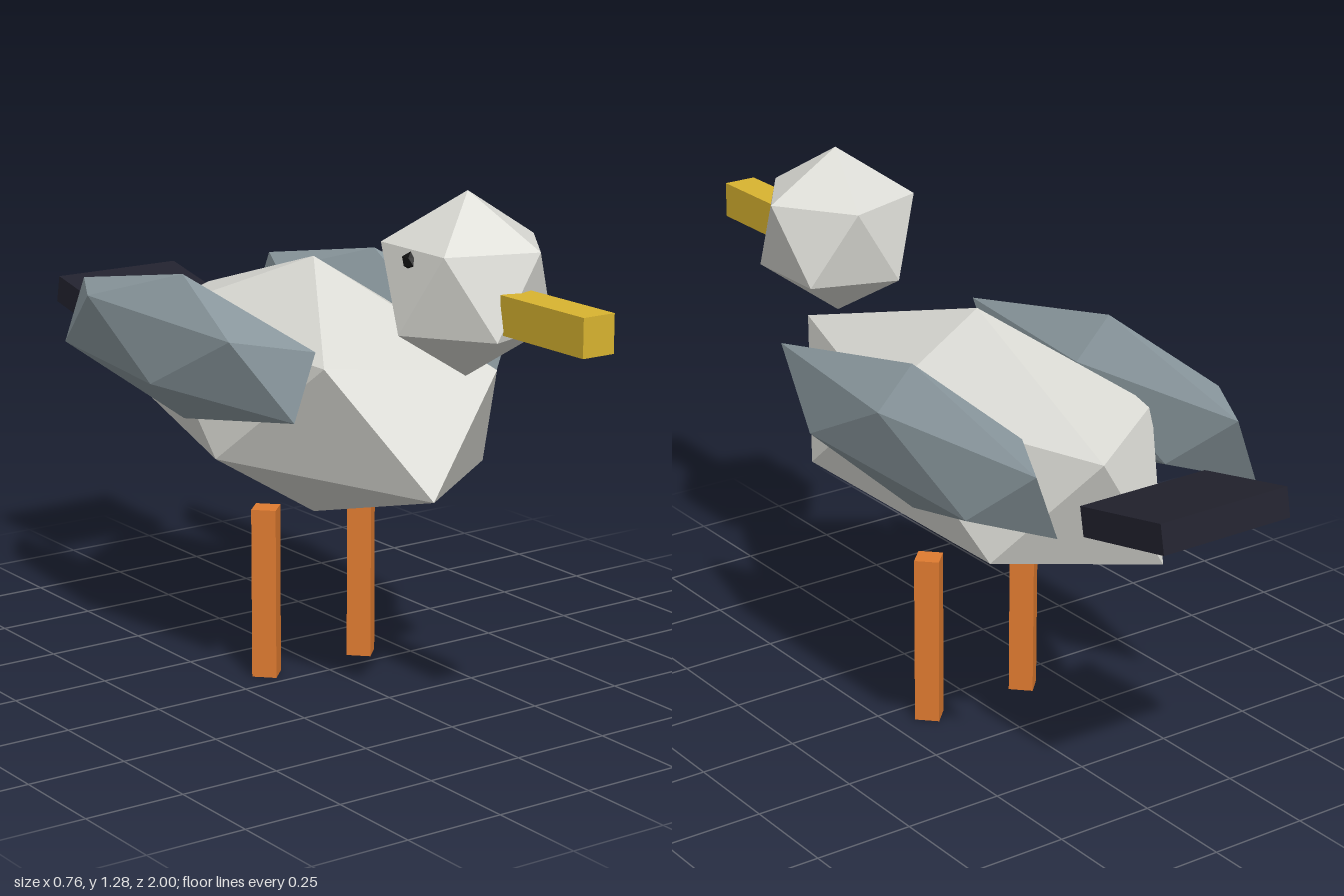
import * as THREE from 'three';

const paint = (name, color) => {
  const m = new THREE.MeshStandardMaterial({ color, flatShading: true });
  m.name = name;
  return m;
};

// Icosahedron standing on a corner, with an upper-ring corner on +x
const gem = (rx, ry, rz) =>
  new THREE.IcosahedronGeometry(1, 0)
    .rotateZ(-Math.atan(2 / (1 + Math.sqrt(5))))
    .scale(rx, ry, rz);

export function createModel() {
  const bird = new THREE.Group();
  bird.name = 'bird';

  const plumage = paint('pale grey plumage', 0xdcdcd6);
  const wingGrey = paint('slate grey wing', 0x8c9aa0);
  const tailBlack = paint('blue-black tail', 0x22222e);
  const beakYellow = paint('yellow beak', 0xd9b430);
  const legOrange = paint('orange leg', 0xe07b30);
  const eyeBlack = paint('black eye', 0x111111);

  const add = (name, geometry, material, x, y, z) => {
    const mesh = new THREE.Mesh(geometry, material);
    mesh.name = name;
    mesh.position.set(x, y, z);
    bird.add(mesh);
    return mesh;
  };

  // Body and head
  add('body', gem(0.321, 0.321, 0.714), plumage, 0, 0.715, -0.068);
  add('head', gem(0.214, 0.214, 0.223), plumage, 0, 1.071, 0.537);

  // Beak
  add('beak', new THREE.BoxGeometry(0.086, 0.09, 0.286), beakYellow, 0, 1.036, 0.857);

  // Tail, tipped up towards the back
  const tail = add('tail', new THREE.BoxGeometry(0.356, 0.071, 0.286), tailBlack, 0, 0.788, -0.853);
  tail.rotation.x = 0.2;

  // Paired wings, legs and eyes
  for (const [side, s] of [['left', 1], ['right', -1]]) {
    add(side + 'Wing', gem(0.107, 0.179, 0.607), wingGrey, s * 0.285, 0.822, -0.21);

    // Square leg turned corner-first
    const leg = new THREE.BoxGeometry(0.0606, 0.428, 0.0606).rotateY(Math.PI / 4);
    add(side + 'Leg', leg, legOrange, s * 0.143, 0.214, -0.068);

    add(side + 'Eye', gem(0.0215, 0.0215, 0.0225), eyeBlack, s * 0.155, 1.141, 0.533);
  }

  return bird;
}
